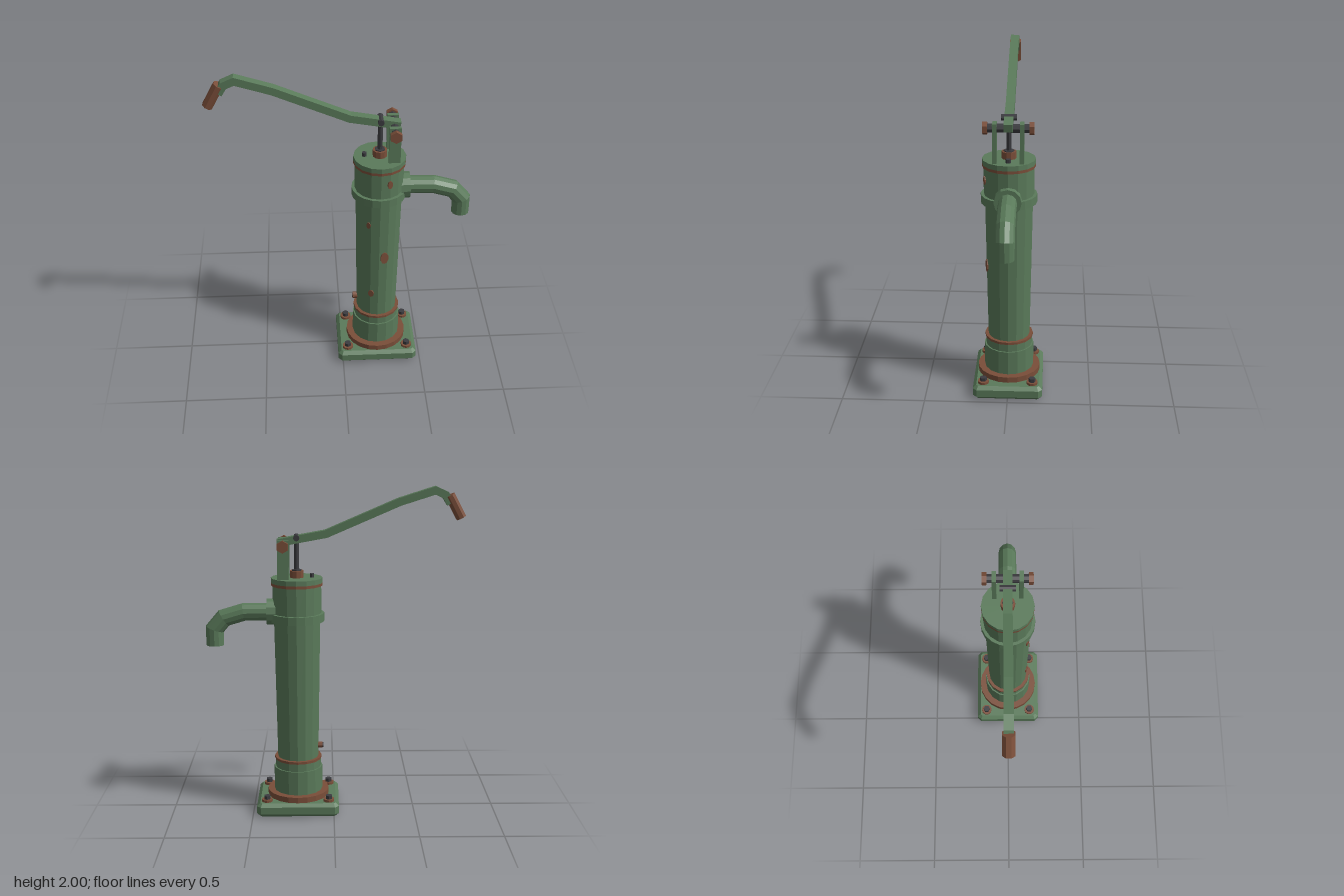
import * as THREE from 'three';

const CX = 0.222; // pump axis

export function createModel() {
  const root = new THREE.Group();
  root.name = 'handWaterPump';
  const mat = (name, color) => {
    const m = new THREE.MeshStandardMaterial({ color, flatShading: true });
    m.name = name;
    return m;
  };
  const green = mat('green paint', 0x5a7a5a);
  const rust = mat('rust', 0x7a4e39);
  const iron = mat('dark iron', 0x3b3b3f);

  const add = (name, geo, material, x = 0, y = 0, z = 0) => {
    const m = new THREE.Mesh(geo, material);
    m.name = name;
    m.position.set(x, y, z);
    root.add(m);
    return m;
  };
  // Upright cylinder between two heights
  const post = (name, material, y0, y1, r0, r1 = r0, sides = 16, x = CX, z = 0) =>
    add(name, new THREE.CylinderGeometry(r1, r0, y1 - y0, sides), material, x, (y0 + y1) / 2, z);
  // Cylinder lying along z, or along x
  const alongZ = (name, material, r, len, sides, x, y, z) => {
    const m = add(name, new THREE.CylinderGeometry(r, r, len, sides), material, x, y, z);
    m.rotation.x = Math.PI / 2;
    return m;
  };
  const alongX = (name, material, r, len, sides, x, y, z) => {
    const m = add(name, new THREE.CylinderGeometry(r, r, len, sides), material, x, y, z);
    m.rotation.z = Math.PI / 2;
    return m;
  };
  // Mitred sweep of a regular section along a path in the xy plane
  const sweep = (path, sides, rn, rz, phase, capEnd) => {
    const pts = path.map(p => new THREE.Vector2(...p));
    const pos = [], idx = [], last = pts.length - 1;
    pts.forEach((p, i) => {
      const a = pts[Math.min(i + 1, last)].clone().sub(pts[Math.min(i, last - 1)]).normalize();
      const b = i > 0 ? p.clone().sub(pts[i - 1]).normalize() : a;
      const t = a.clone().add(b).normalize();
      const mitre = 1 / t.dot(a);
      for (let j = 0; j < sides; j++) {
        const ang = phase + (j / sides) * Math.PI * 2;
        const n = Math.cos(ang) * rn * mitre;
        pos.push(p.x - t.y * n, p.y + t.x * n, Math.sin(ang) * rz);
      }
    });
    for (let i = 0; i < last; i++) for (let j = 0; j < sides; j++) {
      const k = (j + 1) % sides, r = i * sides, s = r + sides;
      idx.push(r + j, r + k, s + k, r + j, s + k, s + j);
    }
    for (let j = 1; j < sides - 1; j++) {
      idx.push(0, j + 1, j);
      if (capEnd) idx.push(last * sides, last * sides + j, last * sides + j + 1);
    }
    const g = new THREE.BufferGeometry();
    g.setAttribute('position', new THREE.Float32BufferAttribute(pos, 3));
    g.setIndex(idx);
    const flat = g.toNonIndexed();
    flat.computeVertexNormals();
    return flat;
  };

  // Bevelled base plate with clipped corners
  const bevel = 0.02, w = 0.252 - bevel, d = 0.21 - bevel, c = 0.012;
  const plate = new THREE.Shape([
    [-w + c, -d], [w - c, -d], [w, -d + c], [w, d - c],
    [w - c, d], [-w + c, d], [-w, d - c], [-w, -d + c],
  ].map(p => new THREE.Vector2(...p)));
  const plateGeo = new THREE.ExtrudeGeometry(plate, {
    depth: 0.085 - 2 * bevel, bevelEnabled: true, bevelSize: bevel, bevelThickness: bevel, bevelSegments: 1,
  });
  plateGeo.rotateX(-Math.PI / 2);
  add('basePlate', plateGeo, green, CX, bevel, 0);

  // Anchor bolts
  for (const sx of [-1, 1]) for (const sz of [-1, 1]) {
    post('anchorWasher', rust, 0.08, 0.1, 0.034, 0.034, 10, CX + sx * 0.19, sz * 0.148);
    post('anchorBolt', iron, 0.1, 0.122, 0.021, 0.021, 6, CX + sx * 0.19, sz * 0.148);
  }

  // Column, bottom to top
  post('baseFlange', rust, 0.08, 0.12, 0.19, 0.19, 20);
  post('footSleeve', green, 0.12, 0.27, 0.15);
  post('footNeck', green, 0.27, 0.32, 0.141);
  post('lowerRustBand', rust, 0.32, 0.335, 0.146);
  post('barrel', green, 0.335, 1.2, 0.126, 0.14);
  post('collar', green, 1.195, 1.245, 0.165, 0.165, 20);
  post('head', green, 1.245, 1.415, 0.147);
  post('upperRustBand', rust, 1.413, 1.43, 0.156);
  post('cap', green, 1.43, 1.46, 0.156);
  for (const x of [0.13, 0.314]) post('capBolt', iron, 1.46, 1.483, 0.015, 0.015, 6, x);

  // Rust patches on the front of the column
  [[0.275, 1.34, 0.147, 0.016, 0.027], [0.155, 1.04, 0.137, 0.014, 0.022],
   [0.255, 0.795, 0.1335, 0.026, 0.042], [0.178, 0.51, 0.129, 0.018, 0.026],
  ].forEach(([x, y, r, rx, ry]) => {
    const g = new THREE.CylinderGeometry(1, 1, 0.009, 10);
    g.rotateX(Math.PI / 2);
    g.scale(rx, ry, 1);
    const a = Math.asin((x - CX) / r);
    add('rustPatch', g, rust, x, y, Math.cos(a) * r).rotation.y = a;
  });

  // Drain plug
  alongX('drainPlug', rust, 0.021, 0.035, 8, 0.087, 0.4, 0);
  alongX('drainPlugTip', iron, 0.015, 0.006, 6, 0.068, 0.4, 0);

  // Spout with a hollow mouth
  alongX('spoutFlange', green, 0.08, 0.055, 12, 0.377, 1.25, 0);
  const spoutPath = [[0.36, 1.25], [0.545, 1.248], [0.665, 1.212], [0.722, 1.145], [0.722, 1.045]];
  add('spout', sweep(spoutPath, 12, 0.054, 0.054, 0, false), green);
  const mouth = [[0, 0.06], [0.042, 0.06], [0.042, 0], [0.054, 0]].map(p => new THREE.Vector2(...p));
  add('spoutMouth', new THREE.LatheGeometry(mouth, 12), green, 0.722, 1.045, 0);

  // Plunger rod and gland
  post('gland', rust, 1.46, 1.502, 0.043, 0.043, 10);
  post('glandNut', iron, 1.502, 1.508, 0.032, 0.032, 6);
  post('plungerRod', iron, 1.5, 1.7, 0.015, 0.015, 8);
  alongZ('rodPin', iron, 0.019, 0.09, 8, CX, 1.7, 0);

  // Fulcrum posts and axle
  for (const s of [-1, 1]) {
    add('fulcrumPost', new THREE.BoxGeometry(0.068, 0.23, 0.025), green, 0.301, 1.575, s * 0.078);
    alongZ('axleHead', rust, 0.037, 0.027, 6, 0.301, 1.66, s * 0.132);
  }
  alongZ('axle', iron, 0.026, 0.24, 8, 0.301, 1.66, 0);

  // Lever and its grip
  const half = 0.023 * Math.SQRT2;
  const lever = [[0.335, 1.668], [0.23, 1.688], [0.045, 1.722], [-0.39, 1.91], [-0.6, 1.977], [-0.66, 1.95], [-0.69, 1.9]];
  add('lever', sweep(lever, 4, half, 0.026 * Math.SQRT2, Math.PI / 4, true), green);
  add('grip', sweep([[-0.685, 1.948], [-0.757, 1.815]], 8, 0.032, 0.037, Math.PI / 8, true), rust);

  return root;
}
